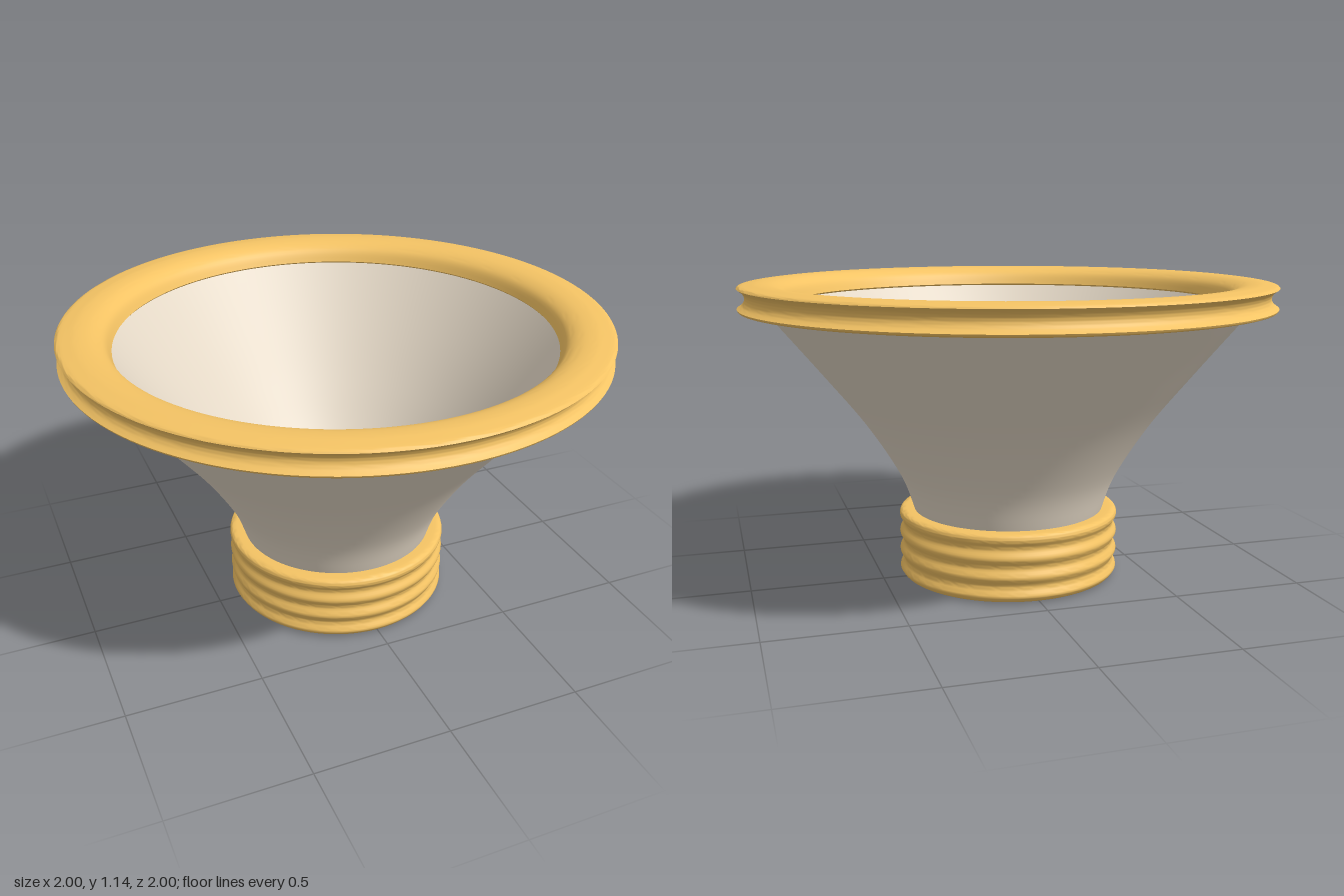
import * as THREE from 'three';
import { toCreasedNormals } from 'three/addons/utils/BufferGeometryUtils.js';

const bowlMaterial = new THREE.MeshStandardMaterial({ color: 0xe6dac8 });
const goldMaterial = new THREE.MeshStandardMaterial({ color: 0xf4c364 });

// Smooth profile run through a few [radius, height] points
function smooth(points, divisions) {
  return new THREE.SplineCurve(points.map(p => new THREE.Vector2(...p))).getPoints(divisions);
}

const straight = points => points.map(p => new THREE.Vector2(...p));

// Evenly spaced ridges between two heights; starts and ends on a crest
function ridges(crest, groove, y0, y1, count) {
  const steps = count * 10;
  return Array.from({ length: steps + 1 }, (_, i) => {
    const wave = (1 - Math.cos(i / 10 * Math.PI * 2)) / 2;
    return new THREE.Vector2(crest + (groove - crest) * wave, y0 + (y1 - y0) * i / steps);
  });
}

// Turned part; profile runs up the outside and back down the inside
function turned(name, profile, material) {
  const points = profile.filter((p, i) => i === 0 || p.distanceTo(profile[i - 1]) > 1e-5);
  points.forEach(p => { p.x = Math.max(p.x, 0); });
  const geometry = toCreasedNormals(new THREE.LatheGeometry(points, 128), 0.75);
  const mesh = new THREE.Mesh(geometry, material);
  mesh.name = name;
  return mesh;
}

export function createModel() {
  const model = new THREE.Group();
  model.name = 'flaredBowl';

  // Thick flared bowl with a rounded hollow and flat underside
  model.add(turned('bowl', [
    ...straight([[0, 0.175], [0.345, 0.175]]),
    ...smooth([[0.35, 0.2], [0.368, 0.26], [0.421, 0.4], [0.546, 0.6], [0.705, 0.8], [0.9, 1.035], [0.905, 1.045]], 36),
    ...smooth([[0.82, 1.065], [0.66, 0.84], [0.5, 0.62], [0.35, 0.43], [0.22, 0.315], [0.11, 0.26], [0, 0.245]], 40),
  ], bowlMaterial));

  // Broad rim with a grooved outer edge and an inner lip rolled down into the bowl
  model.add(turned('rim', [
    ...straight([[0.83, 1.04], [0.88, 1.032], [0.98, 1.034]]),
    ...smooth([[0.98, 1.034], [0.995, 1.038], [1, 1.046]], 6),
    ...smooth([[1, 1.046], [0.98, 1.062], [0.972, 1.083], [0.98, 1.104], [1, 1.12]], 16),
    ...smooth([[1, 1.12], [0.992, 1.127], [0.96, 1.132], [0.92, 1.135], [0.87, 1.128], [0.83, 1.105], [0.808, 1.062]], 28),
    ...straight([[0.83, 1.04]]),
  ], goldMaterial));

  // Hollow foot ring, ridged outside and inside
  model.add(turned('footRing', [
    ...smooth([[0.35, 0.012], [0.365, 0.004], [0.39, 0], [0.412, 0.006], [0.425, 0.024]], 12),
    ...ridges(0.425, 0.41, 0.024, 0.238, 3),
    ...smooth([[0.425, 0.238], [0.421, 0.25], [0.408, 0.257], [0.36, 0.258]], 8),
    ...straight([[0.335, 0.2]]),
    ...ridges(0.333, 0.345, 0.2, 0.06, 2),
    ...smooth([[0.333, 0.06], [0.338, 0.035], [0.35, 0.012]], 6),
  ], goldMaterial));

  return model;
}
